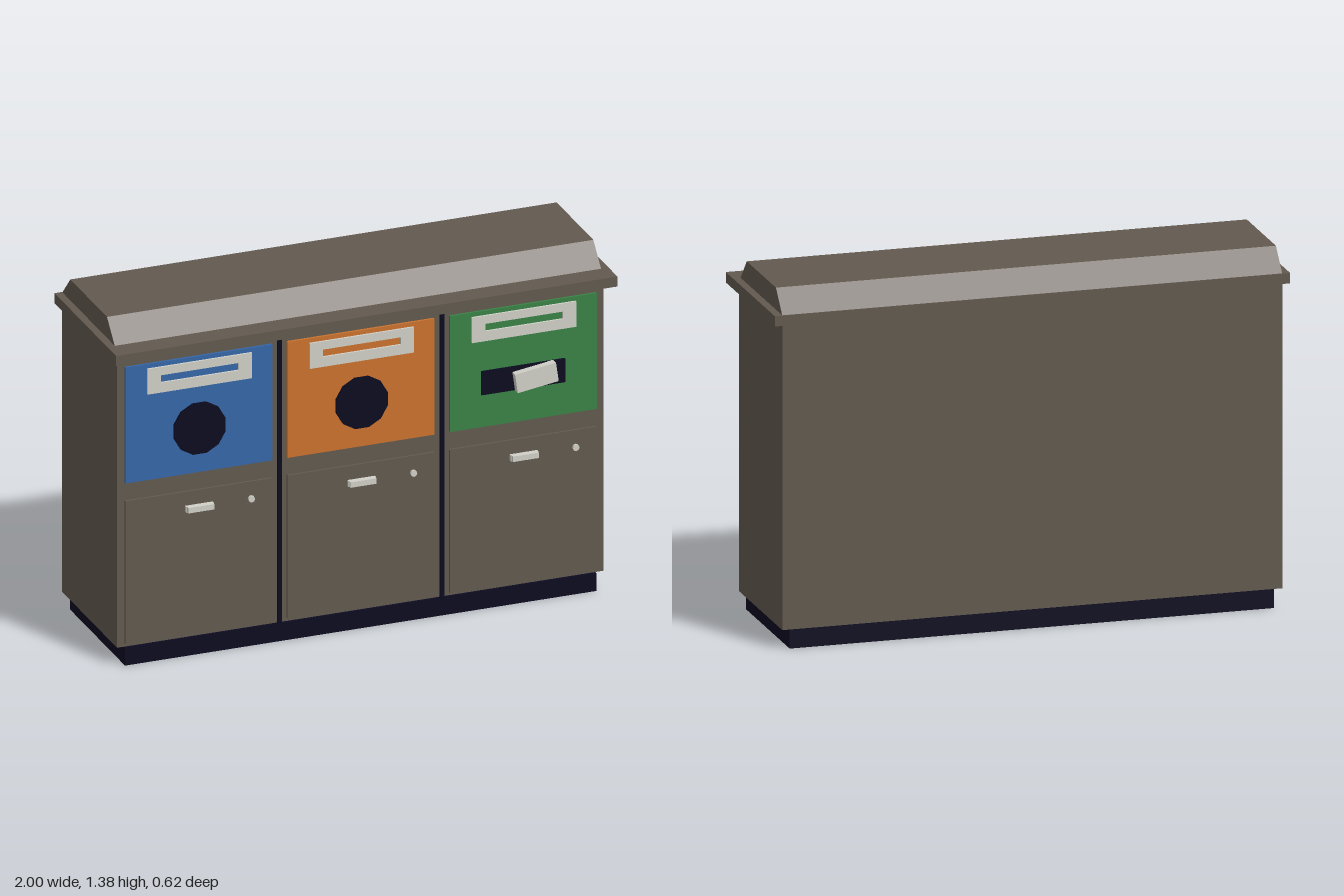
import * as THREE from 'three';

const mat = (name, color) => {
  const m = new THREE.MeshStandardMaterial({ color });
  m.name = name;
  return m;
};

export function createModel() {
  const brown = mat('brown', 0x62594f);
  const dark = mat('dark navy', 0x0b0a20);
  const blue = mat('blue', 0x3467a8);
  const orange = mat('orange', 0xca722d);
  const green = mat('green', 0x398245);
  const white = mat('off white', 0xd0d0c8);
  dark.side = THREE.DoubleSide;

  const root = new THREE.Group();
  root.name = 'recyclingStation';

  const add = (name, geometry, material, parent = root) => {
    const mesh = new THREE.Mesh(geometry, material);
    mesh.name = name;
    parent.add(mesh);
    return mesh;
  };
  // Box given by its limits on each axis
  const box = (name, [x0, x1], [y0, y1], [z0, z1], material, parent) => {
    const mesh = add(name, new THREE.BoxGeometry(x1 - x0, y1 - y0, z1 - z0), material, parent);
    mesh.position.set((x0 + x1) / 2, (y0 + y1) / 2, (z0 + z1) / 2);
    return mesh;
  };
  const rect = (Type, w, y0, y1) => new Type([
    new THREE.Vector2(-w, y0), new THREE.Vector2(w, y0),
    new THREE.Vector2(w, y1), new THREE.Vector2(-w, y1),
  ]);

  // Plinth, open underneath: drop the bottom face of the box
  const plinth = box('plinth', [-0.94, 0.94], [0, 0.072], [-0.305, 0.25], dark);
  const index = Array.from(plinth.geometry.index.array);
  index.splice(18, 6);
  plinth.geometry.setIndex(index);
  plinth.geometry.clearGroups();

  // Cabinet and overhanging lid slab
  box('cabinet', [-0.97, 0.97], [0.075, 1.25], [-0.31, 0.245], brown);
  box('lidSlab', [-1, 1], [1.25, 1.29], [-0.312, 0.312], brown);

  // Sloped roof, extruded along x from its side profile (profile x is -z)
  const roofShape = new THREE.Shape([
    new THREE.Vector2(-0.222, 1.29), new THREE.Vector2(0.308, 1.29),
    new THREE.Vector2(0.228, 1.375), new THREE.Vector2(-0.143, 1.375),
  ]);
  const roof = new THREE.ExtrudeGeometry(roofShape, { depth: 1.94, bevelEnabled: false });
  roof.translate(0, 0, -0.97).rotateY(Math.PI / 2);
  add('roof', roof, brown);

  // Dark strips between the bays
  for (const x of [-0.324, 0.324]) {
    box('divider', [x - 0.008, x + 0.008], [0.06, 1.25], [0.24, 0.254], dark);
  }

  // Three bays, each with a coloured panel above a door
  [[-0.647, blue], [0, orange], [0.647, green]].forEach(([x, colour], i) => {
    const bay = new THREE.Group();
    bay.name = ['leftBay', 'middleBay', 'rightBay'][i];
    bay.position.x = x;
    root.add(bay);

    box('colourPanel', [-0.293, 0.293], [0.74, 1.21], [0.24, 0.255], colour, bay);
    box('door', [-0.293, 0.293], [0.088, 0.668], [0.24, 0.255], brown, bay);

    // Label frame with a slot through it
    const frame = rect(THREE.Shape, 0.208, 1.09, 1.193);
    frame.holes.push(rect(THREE.Path, 0.155, 1.13, 1.16));
    const label = new THREE.ExtrudeGeometry(frame, { depth: 0.008, bevelEnabled: false });
    add('labelFrame', label, white, bay).position.z = 0.255;

    // Opening: a round hole, or a slot with a tilted flap
    if (i < 2) {
      const hole = new THREE.CylinderGeometry(0.106, 0.106, 0.015, 12);
      hole.rotateY(Math.PI / 12).rotateX(Math.PI / 2);
      add('roundOpening', hole, dark, bay).position.set(0, 0.92, 0.257);
    } else {
      box('slotOpening', [-0.17, 0.165], [0.873, 0.968], [0.25, 0.264], dark, bay);
      const flap = box('slotFlap', [-0.043, 0.122], [0.883, 0.96], [0.262, 0.292], white, bay);
      flap.rotation.z = 0.14;
    }

    // Door pull and lock
    box('handlePlate', [-0.055, 0.055], [0.588, 0.612], [0.254, 0.268], white, bay);
    box('handleGrip', [-0.052, 0.052], [0.59, 0.612], [0.268, 0.28], white, bay);
    const lock = new THREE.CylinderGeometry(0.013, 0.013, 0.012, 8).rotateX(Math.PI / 2);
    add('lock', lock, white, bay).position.set(0.207, 0.6, 0.26);
  });

  return root;
}
